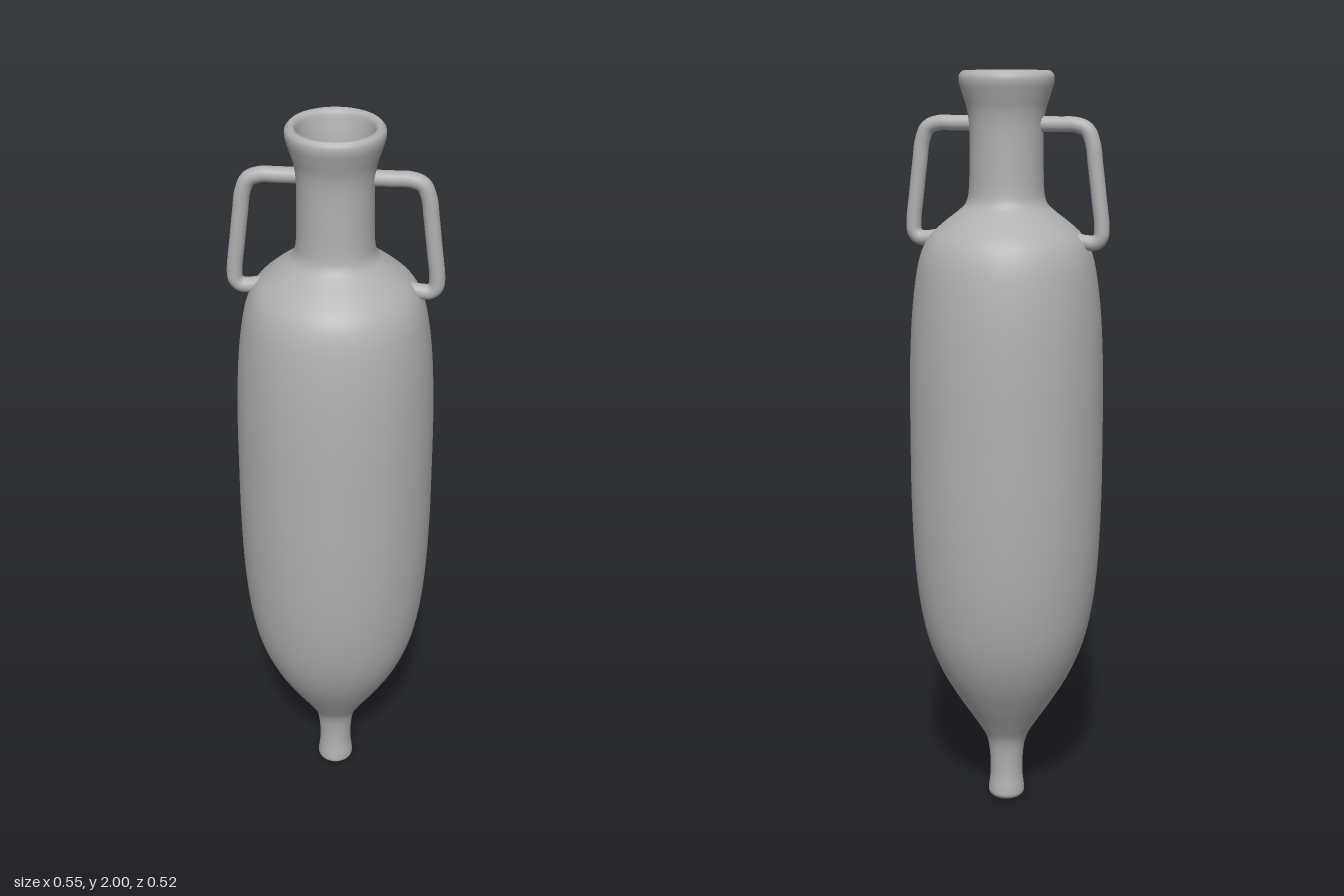
import * as THREE from 'three';

const v2 = (p) => new THREE.Vector2(p[0], p[1]);

export function createModel() {
  const model = new THREE.Group();
  model.name = 'amphora';
  const clay = new THREE.MeshStandardMaterial({ color: 0xb0b0b0 });
  clay.name = 'grey clay';

  // Smooth curve through [radius, height] points
  const smooth = (points, count) => new THREE.SplineCurve(points.map(v2)).getPoints(count);

  const addLathe = (name, profile) => {
    const mesh = new THREE.Mesh(new THREE.LatheGeometry(profile, 72), clay);
    mesh.name = name;
    model.add(mesh);
  };

  // Outer wall: foot, belly, shoulder, neck and flared lip
  addLathe('body', [
    v2([0, 0]),
    ...smooth([
      [0.04, 0], [0.049, 0.01], [0.049, 0.03], [0.045, 0.07], [0.047, 0.13], [0.057, 0.18],
      [0.086, 0.23], [0.132, 0.3], [0.178, 0.38], [0.214, 0.47], [0.236, 0.57], [0.25, 0.7],
      [0.257, 0.87], [0.258, 1.05], [0.257, 1.22], [0.25, 1.37], [0.237, 1.48], [0.222, 1.54],
      [0.2, 1.58], [0.164, 1.614], [0.127, 1.643], [0.106, 1.665], [0.098, 1.7], [0.096, 1.78],
      [0.096, 1.85], [0.101, 1.9], [0.113, 1.94], [0.122, 1.97], [0.122, 1.989], [0.113, 2.0],
    ], 150),
  ]);

  // Inner wall, from the lip down to the pointed hollow
  addLathe('interior', smooth([
    [0.113, 2.0], [0.1, 1.995], [0.093, 1.975], [0.083, 1.92], [0.08, 1.85], [0.08, 1.7],
    [0.1, 1.64], [0.16, 1.59], [0.205, 1.53], [0.23, 1.38], [0.238, 1.05], [0.23, 0.7],
    [0.194, 0.47], [0.112, 0.3], [0.04, 0.22], [0, 0.2],
  ], 80));

  // Pair of looped handles from neck to shoulder
  for (const [name, side] of [['leftHandle', 1], ['rightHandle', -1]]) {
    const path = new THREE.CatmullRomCurve3([
      [0.088, 1.867], [0.14, 1.867], [0.185, 1.866], [0.213, 1.854], [0.228, 1.82], [0.235, 1.77],
      [0.246, 1.68], [0.254, 1.61], [0.252, 1.582], [0.238, 1.568], [0.215, 1.567], [0.185, 1.572],
    ].map(([x, y]) => new THREE.Vector3(side * x, y, 0)));
    const handle = new THREE.Mesh(new THREE.TubeGeometry(path, 64, 0.02, 20), clay);
    handle.name = name;
    model.add(handle);
  }

  return model;
}
